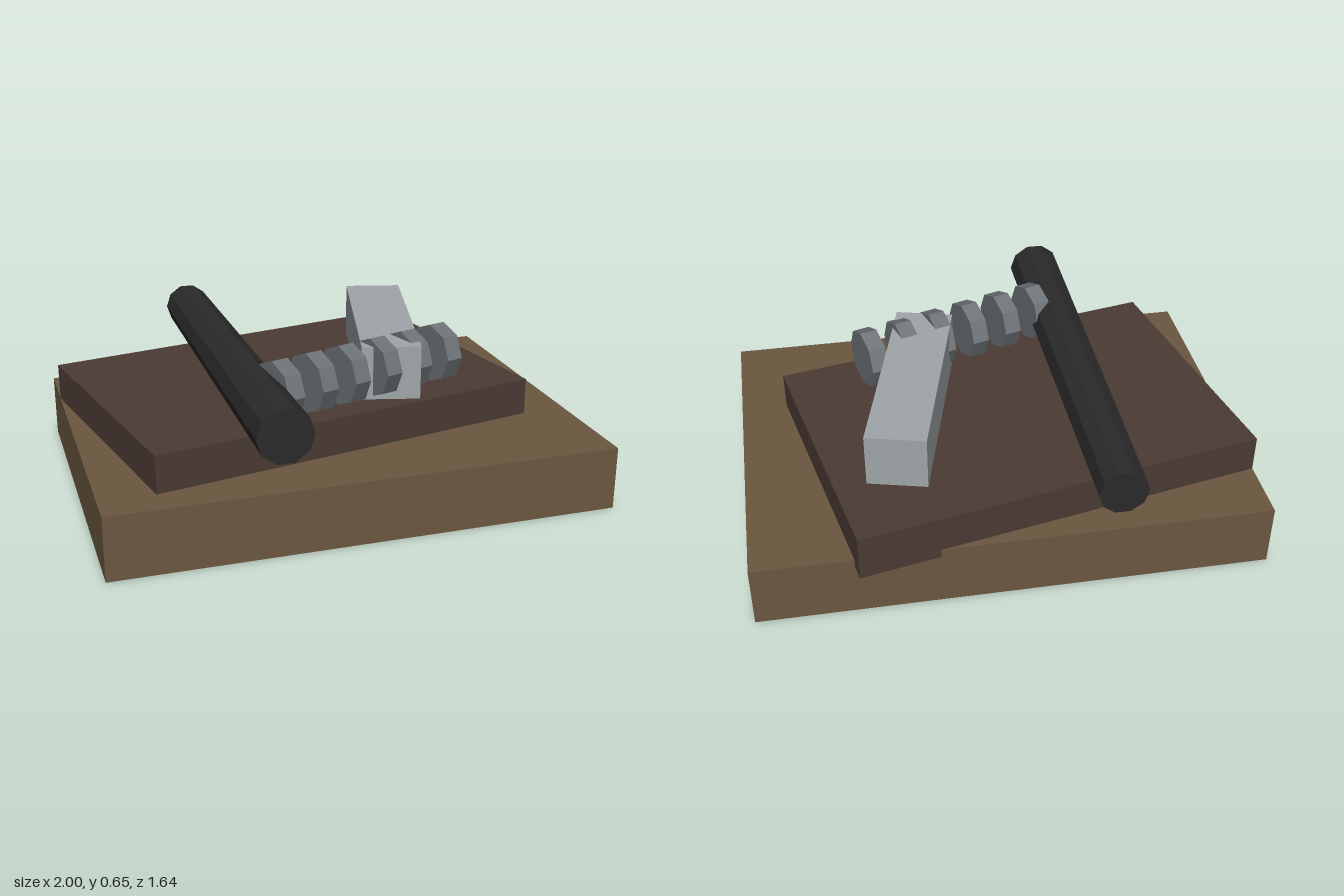
import * as THREE from 'three';

const paint = (name, color) => {
  const m = new THREE.MeshStandardMaterial({ color, flatShading: true });
  m.name = name;
  return m;
};

export function createModel() {
  const group = new THREE.Group();
  const wood = paint('brown wood', 0x6b5740);
  const leather = paint('dark brown leather', 0x4b3b34);
  const steel = paint('light steel', 0x9fa5a8);
  const iron = paint('grey iron', 0x6b7175);
  const black = paint('black grip', 0x2a2a2a);

  const add = (name, geometry, material, x, y, z, turn = 0) => {
    const mesh = new THREE.Mesh(geometry, material);
    mesh.name = name;
    mesh.position.set(x, y, z);
    mesh.rotation.y = turn;
    group.add(mesh);
  };

  // Stacked slabs, the upper one turned and overhanging the back edge
  add('base', new THREE.BoxGeometry(2, 0.255, 1.45), wood, 0, 0.1275, -0.003);
  add('pad', new THREE.BoxGeometry(1.632, 0.185, 1.09), leather, -0.0925, 0.3125, -0.095, 0.198);

  // Steel bar lying on the pad
  add('bar', new THREE.BoxGeometry(0.234, 0.22, 0.863), steel, 0.314, 0.511, -0.0925, -0.257);

  // Ten-sided handle, thicker toward the front
  const handle = new THREE.CylinderGeometry(0.107, 0.094, 1.636, 10);
  handle.rotateY(Math.PI / 2).rotateX(Math.PI / 2);
  add('handle', handle, black, -0.365, 0.513, -0.002);

  // Slanted row of octagonal discs
  const disc = new THREE.CylinderGeometry(0.12, 0.12, 0.07, 8).rotateZ(Math.PI / 2);
  for (let i = 0; i < 6; i++) {
    const t = i - 2.5;
    add(`disc${i + 1}`, disc, iron, 0.09 + t * 0.145, 0.53, 0.297 - t * 0.047, 0.3);
  }
  return group;
}
